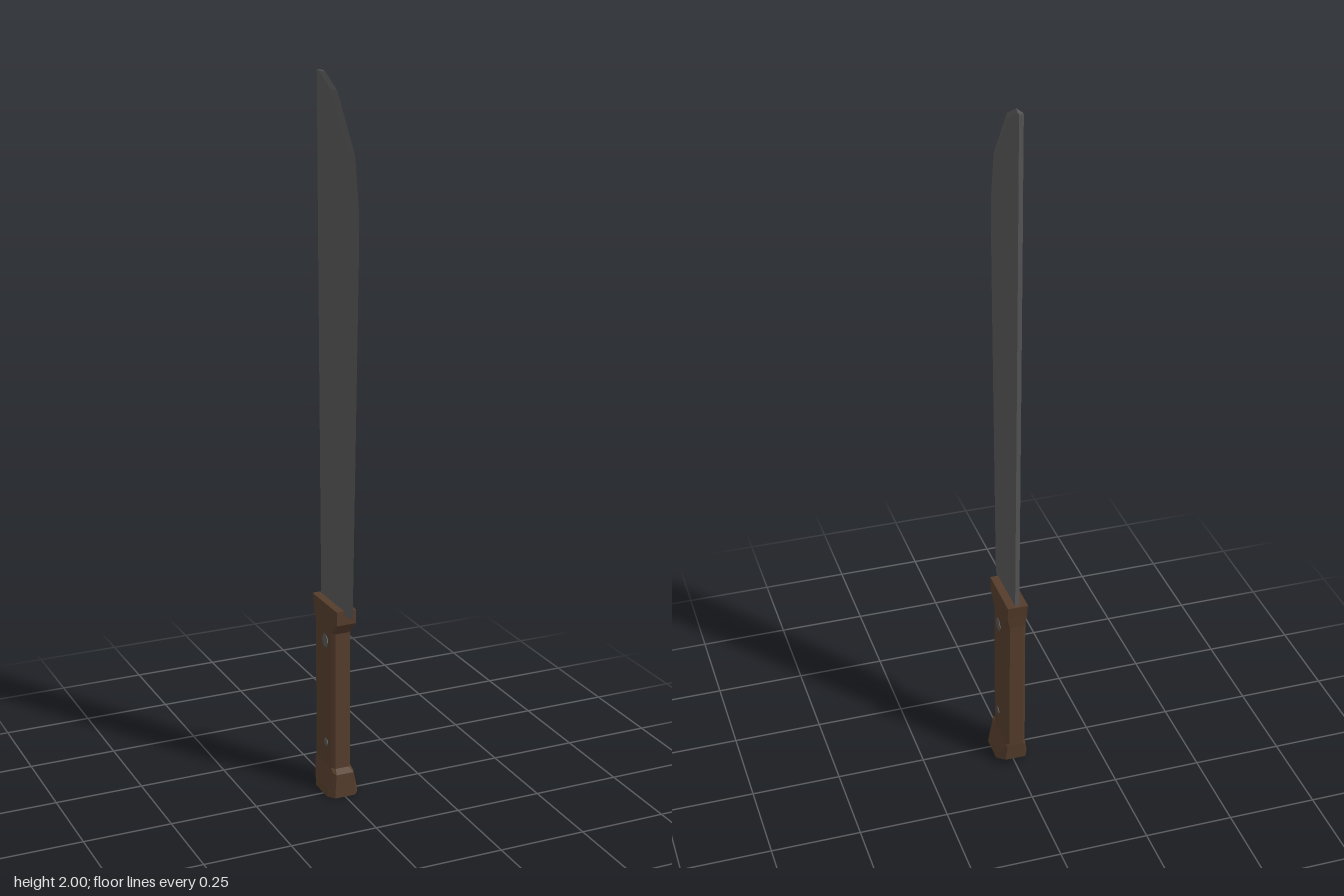
import * as THREE from 'three';

// Skin of quads through horizontal rings; each ring is { y, pts: [[x, z], ...] } turning from +x to +z
function loft(rings) {
  const pos = [];
  const n = rings[0].pts.length;
  const put = (r, i) => pos.push(r.pts[i % n][0], r.y, r.pts[i % n][1]);
  for (let k = 0; k < rings.length - 1; k++) {
    const a = rings[k], b = rings[k + 1];
    for (let i = 0; i < n; i++) {
      put(a, i); put(b, i); put(a, i + 1);
      put(a, i + 1); put(b, i); put(b, i + 1);
    }
  }
  const low = rings[0], top = rings[rings.length - 1];
  for (let i = 1; i < n - 1; i++) {
    put(low, 0); put(low, i); put(low, i + 1);
    put(top, 0); put(top, i + 1); put(top, i);
  }
  const g = new THREE.BufferGeometry();
  g.setAttribute('position', new THREE.Float32BufferAttribute(pos, 3));
  g.computeVertexNormals();
  return g;
}

// Blade section: flat spine and sides, ground to a sharp front edge
function bladeRing([y, back, front]) {
  const t = 0.006, bevel = front - 0.03;
  return { y, pts: [[t, back], [t, bevel], [0, front], [-t, bevel], [-t, back]] };
}

// Handle section: box with chamfered corners (w = half width, e = half width of the end faces)
function handleRing([y, back, front, w, e, cb, cf]) {
  return {
    y,
    pts: [[w, front - cf], [e, front], [-e, front], [-w, front - cf],
      [-w, back + cb], [-e, back], [e, back], [w, back + cb]],
  };
}

export function createModel() {
  const model = new THREE.Group();
  const steel = new THREE.MeshStandardMaterial({ color: 0x555555 });
  steel.name = 'steel';
  const wood = new THREE.MeshStandardMaterial({ color: 0x543c2b });
  wood.name = 'wood';

  const add = (name, geometry, material) => {
    const mesh = new THREE.Mesh(geometry, material);
    mesh.name = name;
    model.add(mesh);
    return mesh;
  };

  // Blade: height, spine z, edge z
  add('blade', loft([
    [0.55, -0.105, 0.093],
    [1.6, -0.12, 0.128],
    [1.69, -0.121, 0.124],
    [1.81, -0.122, 0.102],
    [1.96, -0.124, -0.008],
    [2.0, -0.125, -0.083],
  ].map(bladeRing)), steel);

  // Handle: flared pommel, slim grip and a square guard
  add('handle', loft([
    [0, -0.065, 0.046, 0.046, 0.03, 0.012, 0.02],
    [0.02, -0.095, 0.046, 0.043, 0.03, 0.032, 0.02],
    [0.07, -0.101, 0.045, 0.031, 0.026, 0.015, 0.015],
    [0.08, -0.101, 0.025, 0.029, 0.02, 0.012, 0.012],
    [0.485, -0.101, 0.025, 0.029, 0.02, 0.012, 0.012],
    [0.52, -0.106, 0.052, 0.029, 0.028, 0.002, 0.002],
    [0.56, -0.113, 0.052, 0.029, 0.028, 0.002, 0.002],
  ].map(handleRing)), wood);

  // Rivets on both sides of the grip
  for (const [y, z, r] of [[0.45, -0.025, 0.02], [0.145, -0.02, 0.012]]) {
    const pin = add('rivet', new THREE.CylinderGeometry(r, r, 0.061, 6).toNonIndexed(), steel);
    pin.geometry.computeVertexNormals();
    pin.rotation.z = Math.PI / 2;
    pin.position.set(0, y, z);
  }

  return model;
}
